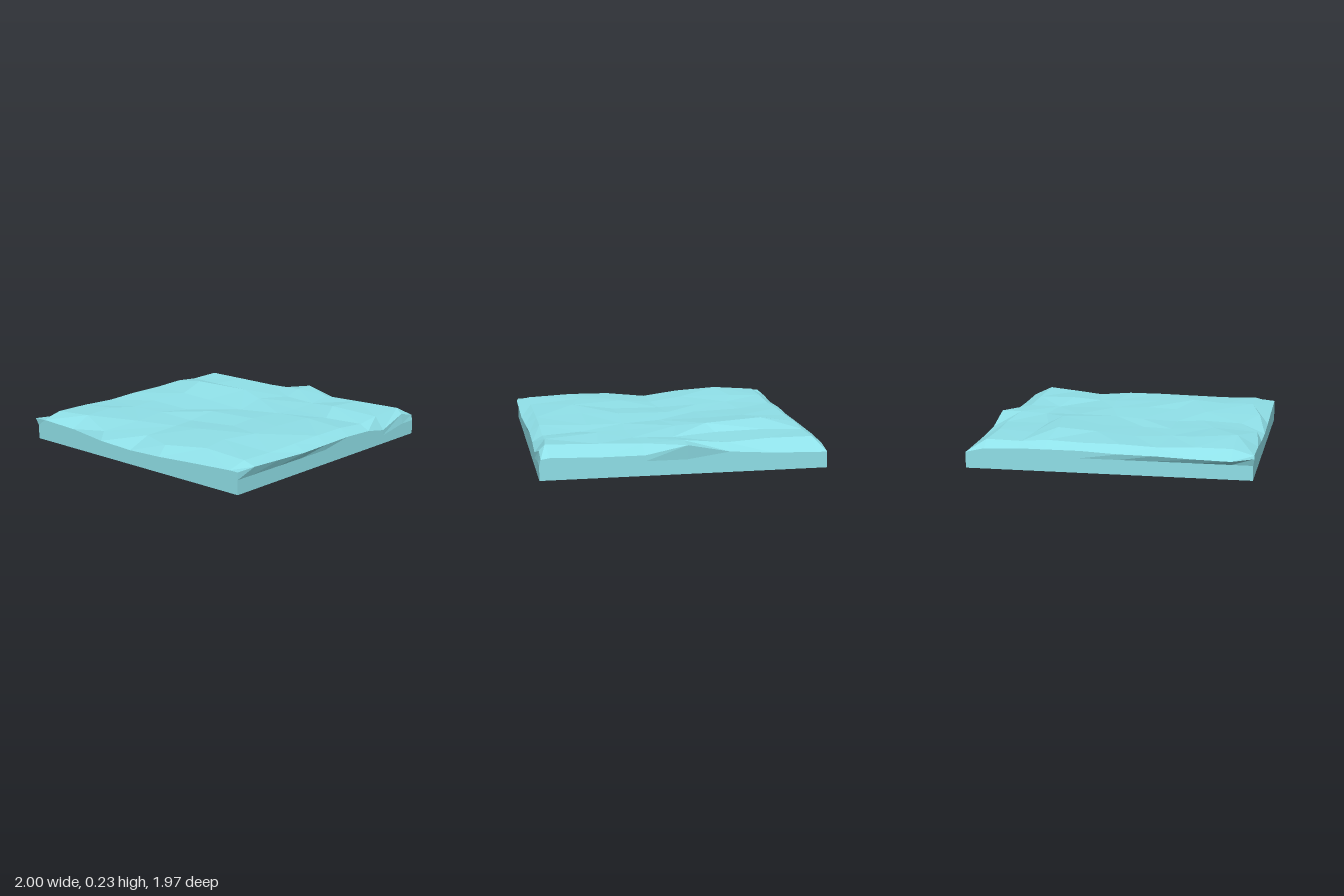
import * as THREE from 'three';

// Grid lines of the rough top, and its heights (hundredths) from back to front
const XS = [-0.97, -0.89, -0.58, -0.29, 0, 0.28, 0.58, 0.91, 0.98];
const ZS = [-0.97, -0.84, -0.6, -0.42, -0.18, 0.08, 0.32, 0.58, 0.83, 0.97];
const HEIGHTS = [
  [11, 11, 12, 14, 20, 14, 14, 15, 14],
  [14, 19, 19, 18, 20, 19, 20, 21, 17],
  [15, 18.5, 19, 18, 18, 18, 21, 19, 10],
  [15, 20, 23.5, 22.5, 20, 18, 17.5, 17, 13],
  [15, 19, 20, 19, 18, 18.5, 19, 19, 14],
  [14, 19, 18.5, 17.5, 19, 20, 20, 19, 14],
  [14, 18, 19, 18.5, 17.5, 19, 21, 18.5, 14],
  [13, 19, 20.5, 19, 18, 20, 20.5, 18, 15],
  [13, 19, 21.5, 17.5, 17, 18, 20, 18.5, 16],
  [15, 15, 14, 11, 10, 11, 13, 15, 15],
];
// Bulge of the left and right rims, from back to front
const LEFT_RIM = [-0.96, -0.96, -0.96, -0.96, -0.96, -0.97, -0.98, -0.98, -1, -0.98];
const RIGHT_RIM = [0.97, 0.97, 0.98, 0.98, 0.98, 0.99, 1, 1, 1, 0.98];
const BASE = { x0: -0.96, x1: 0.98, z0: -0.97, z1: 0.97 };

function seeded(seed) {
  return () => {
    seed = (seed * 16807) % 2147483647;
    return seed / 2147483647;
  };
}

// Flat-shaded geometry from a list of triangles
function facets(triangles) {
  const geometry = new THREE.BufferGeometry().setFromPoints(triangles);
  geometry.computeVertexNormals();
  return geometry;
}

export function createModel() {
  const group = new THREE.Group();
  const material = new THREE.MeshStandardMaterial({ color: 0x8fe0e8, flatShading: true, side: THREE.DoubleSide });
  const random = seeded(41);
  const rows = ZS.length, cols = XS.length;

  // Jittered grid points
  const points = ZS.map((z, j) => XS.map((x, i) => {
    const sideEdge = i === 0 || i === cols - 1;
    const endEdge = j === 0 || j === rows - 1;
    const inner = i > 1 && i < cols - 2 && j > 1 && j < rows - 2;
    const amount = inner ? 0.13 : 0;
    const px = i === 0 ? LEFT_RIM[j] : i === cols - 1 ? RIGHT_RIM[j] : x + (random() - 0.5) * amount;
    const pz = endEdge || sideEdge ? z : z + (random() - 0.5) * amount;
    return new THREE.Vector3(px, HEIGHTS[j][i] / 100, pz);
  }));
  // Undercut ledges, notches and protruding rim points
  points[8][3].z = 0.94;
  points[8][4].z = 0.8;
  points[8][5].z = 0.91;
  points[1][3].z = -0.87;
  points[0][4].z = -0.985;
  points[1][7].x = 0.93;
  points[9][0].z = 0.98;

  // Rough upper surface, with diagonals running both ways
  const top = [];
  for (let j = 0; j < rows - 1; j++) {
    for (let i = 0; i < cols - 1; i++) {
      const a = points[j][i], b = points[j + 1][i], c = points[j + 1][i + 1], d = points[j][i + 1];
      if (random() < 0.5) top.push(a, b, c, a, c, d);
      else top.push(a, b, d, b, c, d);
    }
  }
  const surface = new THREE.Mesh(facets(top), material);
  surface.name = 'roughSurface';
  group.add(surface);

  // Rim of the surface in order: front, right, back, left
  const rim = [];
  for (let i = 0; i < cols - 1; i++) rim.push([i, rows - 1]);
  for (let j = rows - 1; j > 0; j--) rim.push([cols - 1, j]);
  for (let i = cols - 1; i > 0; i--) rim.push([i, 0]);
  for (let j = 0; j < rows - 1; j++) rim.push([0, j]);

  // Straight wall from the ground, then a short chipped band up to the rim
  const columns = rim.map(([i, j]) => {
    const p = points[j][i];
    const x = i === 0 ? BASE.x0 : i === cols - 1 ? BASE.x1 : p.x;
    const z = j === 0 ? BASE.z0 : j === rows - 1 ? BASE.z1 : p.z;
    const ledge = p.y < 0.105 ? 0.06 : 0.1;
    return [new THREE.Vector3(x, 0, z), new THREE.Vector3(x, ledge, z), p];
  });
  const wall = [], band = [];
  columns.forEach((a, k) => {
    const b = columns[(k + 1) % columns.length];
    wall.push(a[0], b[0], b[1], a[0], b[1], a[1]);
    band.push(a[1], b[1], b[2], a[1], b[2], a[2]);
  });
  const sides = new THREE.Mesh(facets(wall), material);
  sides.name = 'slabSides';
  const chipped = new THREE.Mesh(facets(band), material);
  chipped.name = 'chippedEdge';
  group.add(sides, chipped);

  // Flat underside
  const underside = new THREE.Mesh(
    new THREE.PlaneGeometry(BASE.x1 - BASE.x0, BASE.z1 - BASE.z0).rotateX(Math.PI / 2), material);
  underside.position.x = (BASE.x0 + BASE.x1) / 2;
  underside.name = 'underside';
  group.add(underside);

  return group;
}
